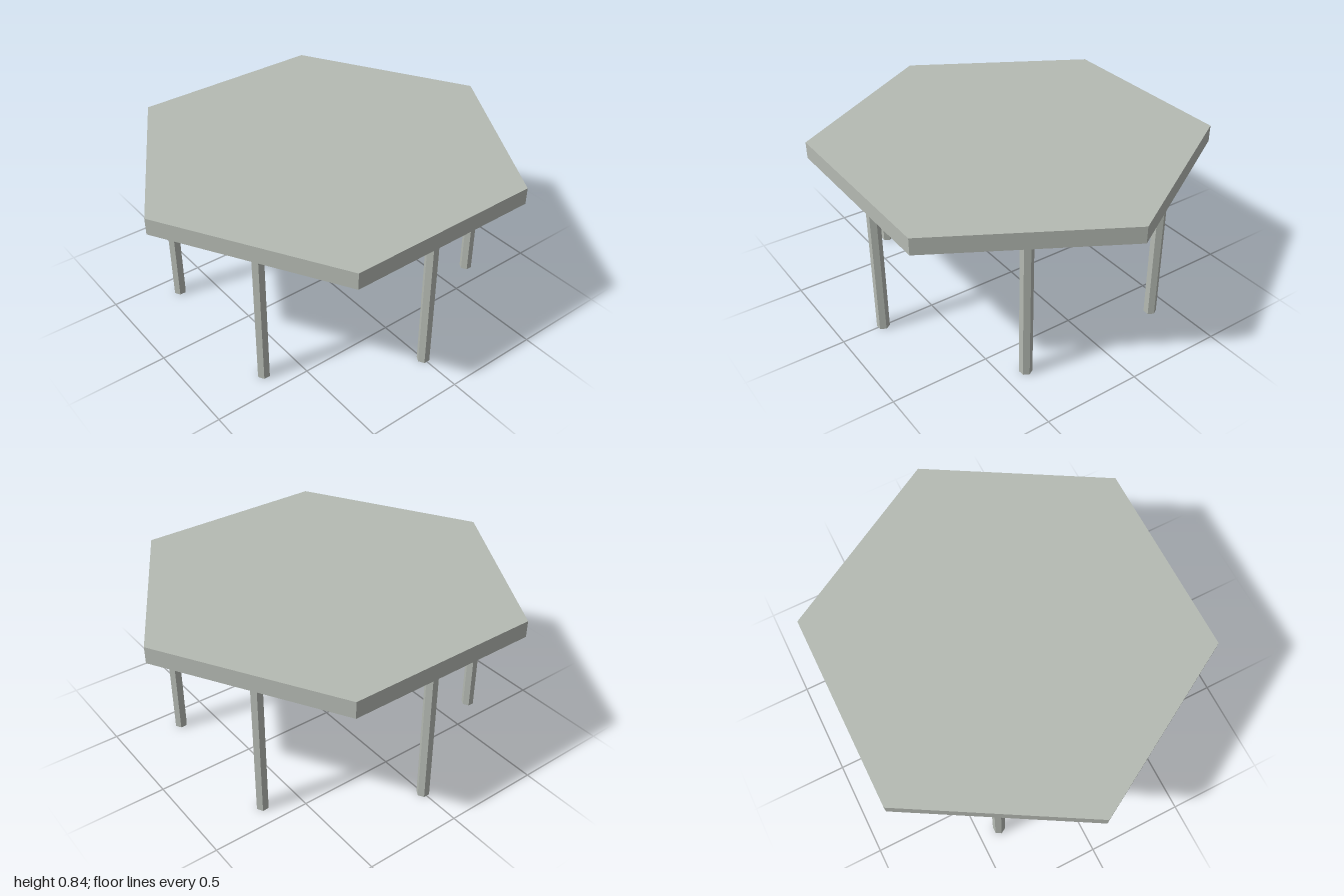
import * as THREE from 'three';

const TOP_Y = 0.843;
const LEG_HEIGHT = 0.757;
const LEG_RING = 0.78;

export function createModel() {
  const table = new THREE.Group();
  table.name = 'hexagonalTable';

  const stone = new THREE.MeshStandardMaterial({ color: 0xb5bab3 });
  stone.name = 'greyGreen';

  // Upright hexagonal prism with a corner towards +z and crisp edges
  const addPrism = (name, radius, bottom, top, x = 0, z = 0) => {
    const geometry = new THREE.CylinderGeometry(radius, radius, top - bottom, 6).toNonIndexed();
    geometry.computeVertexNormals();
    const mesh = new THREE.Mesh(geometry, stone);
    mesh.name = name;
    mesh.position.set(x, (bottom + top) / 2, z);
    table.add(mesh);
  };

  // Table top
  addPrism('tableTop', 1, LEG_HEIGHT, TOP_Y);

  // Six legs, one under the middle of each edge
  for (let i = 0; i < 6; i++) {
    const angle = (i * Math.PI) / 3;
    addPrism(`leg${i + 1}`, 0.032, 0, LEG_HEIGHT, LEG_RING * Math.cos(angle), LEG_RING * Math.sin(angle));
  }

  return table;
}
